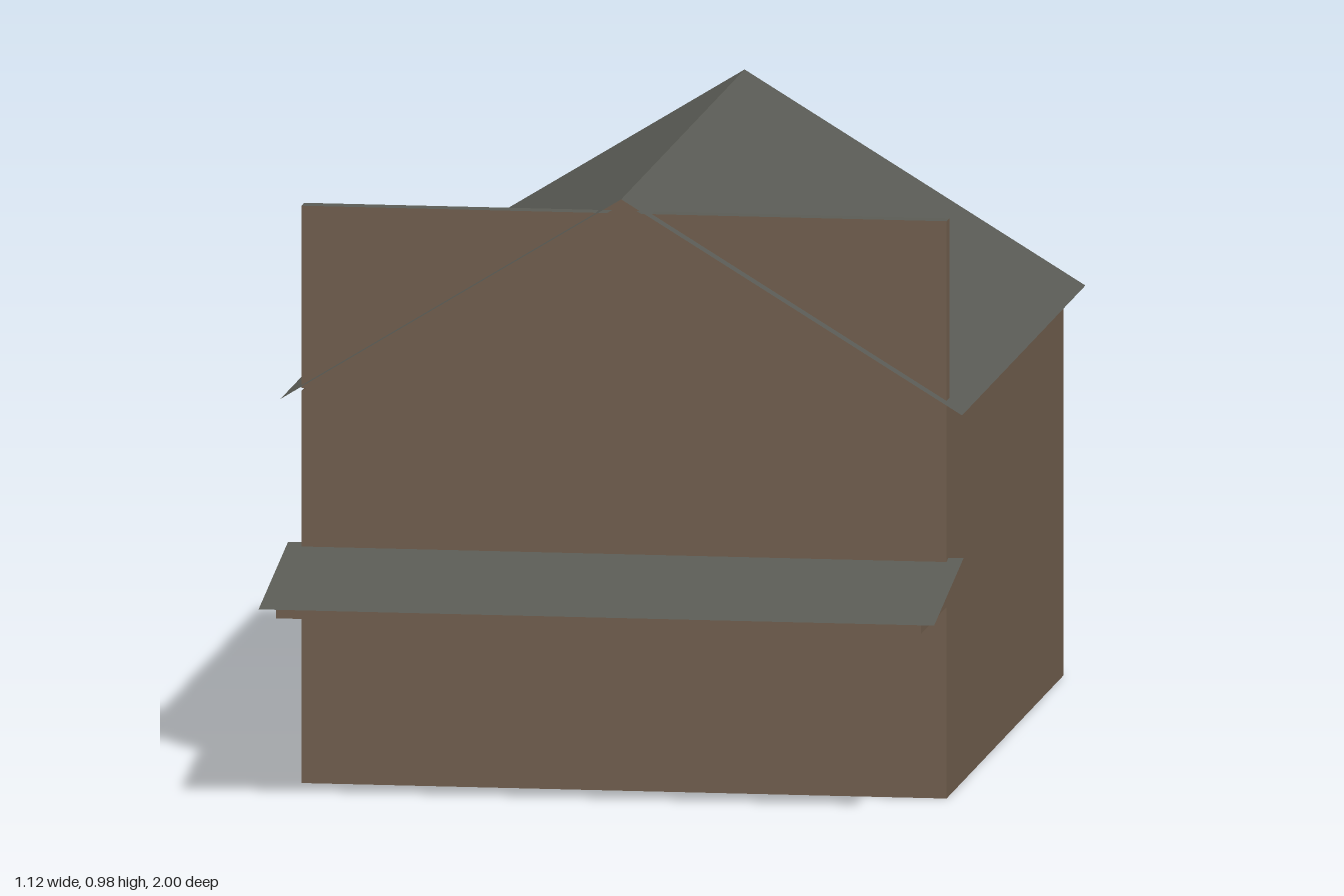
import * as THREE from 'three';

const wood = new THREE.MeshStandardMaterial({ color: 0x705e4d, side: THREE.DoubleSide });
wood.name = 'brown wood';
const slate = new THREE.MeshStandardMaterial({ color: 0x5a5b55, side: THREE.DoubleSide });
slate.name = 'grey roofing';

// Flat convex panel, corners counter-clockwise seen from outside
function panel(name, material, corners) {
  const position = [];
  for (let i = 1; i < corners.length - 1; i++) {
    position.push(...corners[0], ...corners[i], ...corners[i + 1]);
  }
  const geometry = new THREE.BufferGeometry();
  geometry.setAttribute('position', new THREE.Float32BufferAttribute(position, 3));
  geometry.computeVertexNormals();
  const mesh = new THREE.Mesh(geometry, material);
  mesh.name = name;
  return mesh;
}

// The same panel reflected to the other side, keeping its facing
const mirror = (corners) => corners.map(([x, y, z]) => [-x, y, z]).reverse();

function pair(group, name, material, corners) {
  group.add(panel(name + 'Left', material, corners));
  group.add(panel(name + 'Right', material, mirror(corners)));
}

export function createModel() {
  const model = new THREE.Group();
  model.name = 'building';

  // Main hall: open-bottomed walls with a gable at each end
  const w = 0.53, eave = 0.645, peak = 0.967, front = 0.7, back = -0.57;
  const hall = new THREE.Group();
  hall.name = 'hall';
  const gable = (z) => [[-w, 0, z], [w, 0, z], [w, eave, z], [0, peak, z], [-w, eave, z]];
  hall.add(panel('frontWall', wood, gable(front)));
  hall.add(panel('backWall', wood, gable(back).reverse()));
  pair(hall, 'sideWall', wood, [[w, 0, front], [w, 0, back], [w, eave, back], [w, eave, front]]);
  model.add(hall);

  // Thin pitched roof with overhangs
  const roof = new THREE.Group();
  roof.name = 'roof';
  pair(roof, 'roofSlope', slate,
    [[0, 0.978, 0.73], [0.56, 0.636, 0.73], [0.56, 0.636, -0.61], [0, 0.978, -0.61]]);
  model.add(roof);

  // Square false front, grey on its top and underside
  const parapet = new THREE.Mesh(new THREE.BoxGeometry(2 * w, 0.3, 0.03),
    [wood, wood, slate, slate, wood, wood]);
  parapet.name = 'falseFront';
  parapet.position.set(0, 0.8, 0.685);
  model.add(parapet);

  // Awning: sloping sheet over a shallow wedge
  const awning = new THREE.Group();
  awning.name = 'awning';
  const a = 0.555, tip = 0.976, low = 0.315, lip = 0.335;
  awning.add(panel('awningSheet', slate,
    [[-a, 0.333, 1], [a, 0.333, 1], [a, 0.393, 0.68], [-a, 0.393, 0.68]]));
  pair(awning, 'awningCheek', wood,
    [[w, low, tip], [w, low, front], [w, 0.389, front], [w, lip, tip]]);
  awning.add(panel('awningFascia', wood,
    [[-w, low, tip], [w, low, tip], [w, lip, tip], [-w, lip, tip]]));
  awning.add(panel('awningSoffit', slate,
    [[-w, low, front], [w, low, front], [w, low, tip], [-w, low, tip]]));
  model.add(awning);

  // Flat-roofed rear shed, open underneath
  const shed = new THREE.Group();
  shed.name = 'shed';
  const l = -0.5, r = 0.24, h = 0.44, end = -1;
  shed.add(panel('shedBackWall', wood, [[r, 0, end], [l, 0, end], [l, h, end], [r, h, end]]));
  shed.add(panel('shedLeftWall', wood, [[r, 0, back], [r, 0, end], [r, h, end], [r, h, back]]));
  shed.add(panel('shedRightWall', wood, [[l, 0, end], [l, 0, back], [l, h, back], [l, h, end]]));
  shed.add(panel('shedRoof', slate, [[l, h, back], [r, h, back], [r, h, end], [l, h, end]]));
  model.add(shed);

  return model;
}
